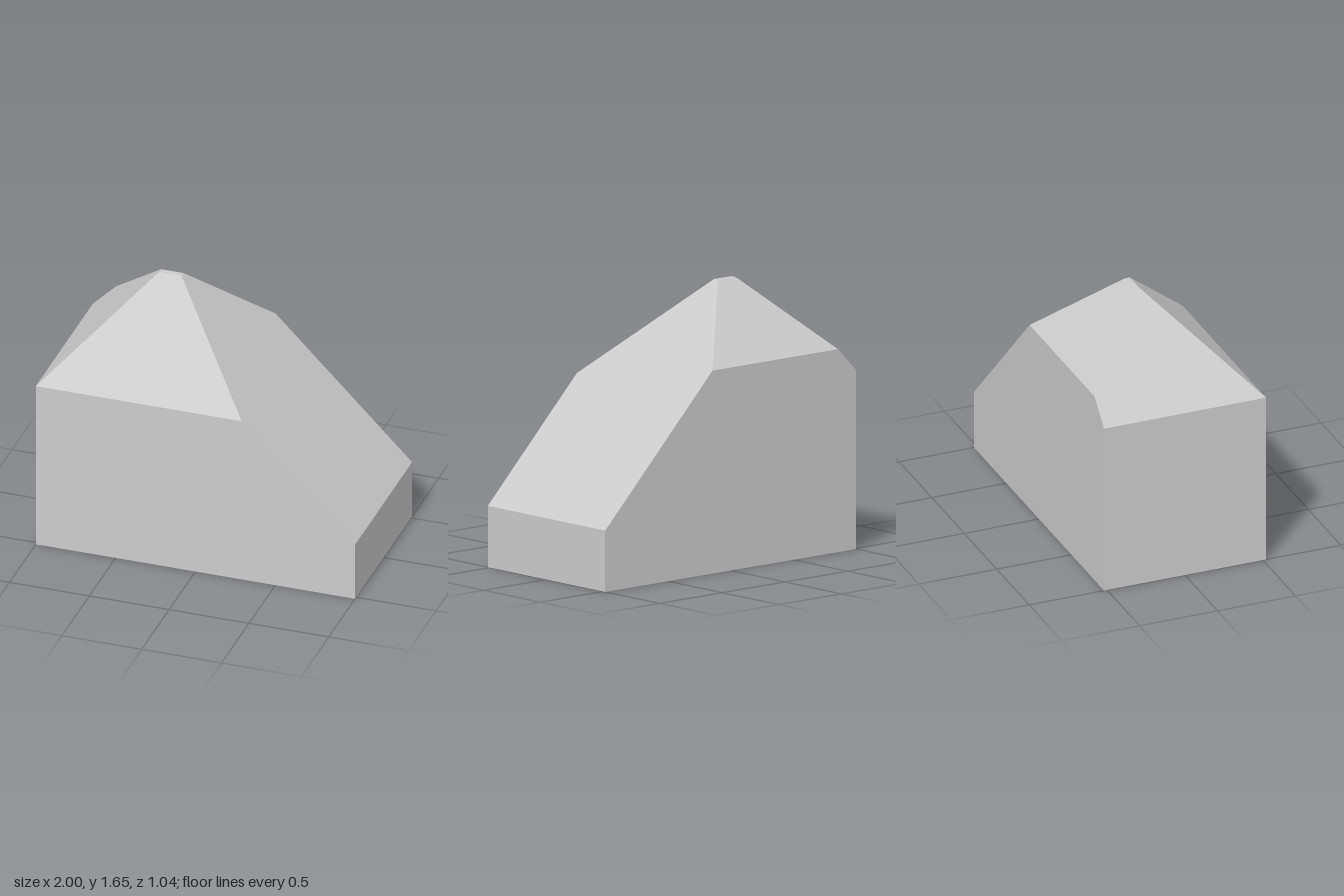
import * as THREE from 'three';

// Main dimensions: half length, half depth, ridge height
const L = 1, D = 0.52, TOP = 1.655;

// Every roof slope is 45 degrees; each plane gives a height at a position
const leftSlope = (x) => x + 2.08;
const rightSlope = (x) => 1.37 - x;
const frontEave = 1.6 - D, backEave = 1.745 - D, lowEave = rightSlope(L);

// Flat-faced mesh from convex polygons, corners counter-clockwise from outside
function polygonMesh(name, polygons) {
  const points = [];
  for (const p of polygons) {
    for (let i = 1; i < p.length - 1; i++) points.push(...p[0], ...p[i], ...p[i + 1]);
  }
  const geometry = new THREE.BufferGeometry();
  geometry.setAttribute('position', new THREE.Float32BufferAttribute(points, 3));
  geometry.computeVertexNormals();
  const mesh = new THREE.Mesh(geometry, new THREE.MeshStandardMaterial({ color: 0xcccccc, flatShading: true }));
  mesh.name = name;
  return mesh;
}

export function createModel() {
  // Floor corners
  const f0 = [-L, 0, D], f1 = [L, 0, D], b0 = [-L, 0, -D], b1 = [L, 0, -D];
  // Eave corners
  const fl = [-L, frontEave, D], fm = [1.37 - frontEave, frontEave, D], fr = [L, lowEave, D];
  const bl = [-L, leftSlope(-L), -D], br = [L, lowEave, -D];
  const bml = [backEave - 2.08, backEave, -D], bmr = [1.37 - backEave, backEave, -D];
  // Small flat cap at the peak
  const x0 = TOP - 2.08, x1 = 1.37 - TOP, zf = 1.6 - TOP, zb = TOP - 1.745;
  const tfl = [x0, TOP, zf], tfr = [x1, TOP, zf], tbl = [x0, TOP, zb], tbr = [x1, TOP, zb];

  const model = new THREE.Group();
  model.name = 'hippedBlock';
  model.add(
    polygonMesh('walls', [
      [f0, f1, fr, fm, fl],
      [b1, b0, bl, bml, bmr, br],
      [f1, b1, br, fr],
      [b0, f0, fl, bl],
    ]),
    polygonMesh('roof', [
      [fl, fm, tfr, tfl],
      [bmr, bml, tbl, tbr],
      [fm, fr, br, bmr, tbr, tfr],
      [bl, fl, tfl, tbl, bml],
    ]),
    polygonMesh('roofCap', [[tfl, tfr, tbr, tbl]]),
    polygonMesh('floor', [[f0, b0, b1, f1]]),
  );
  return model;
}
